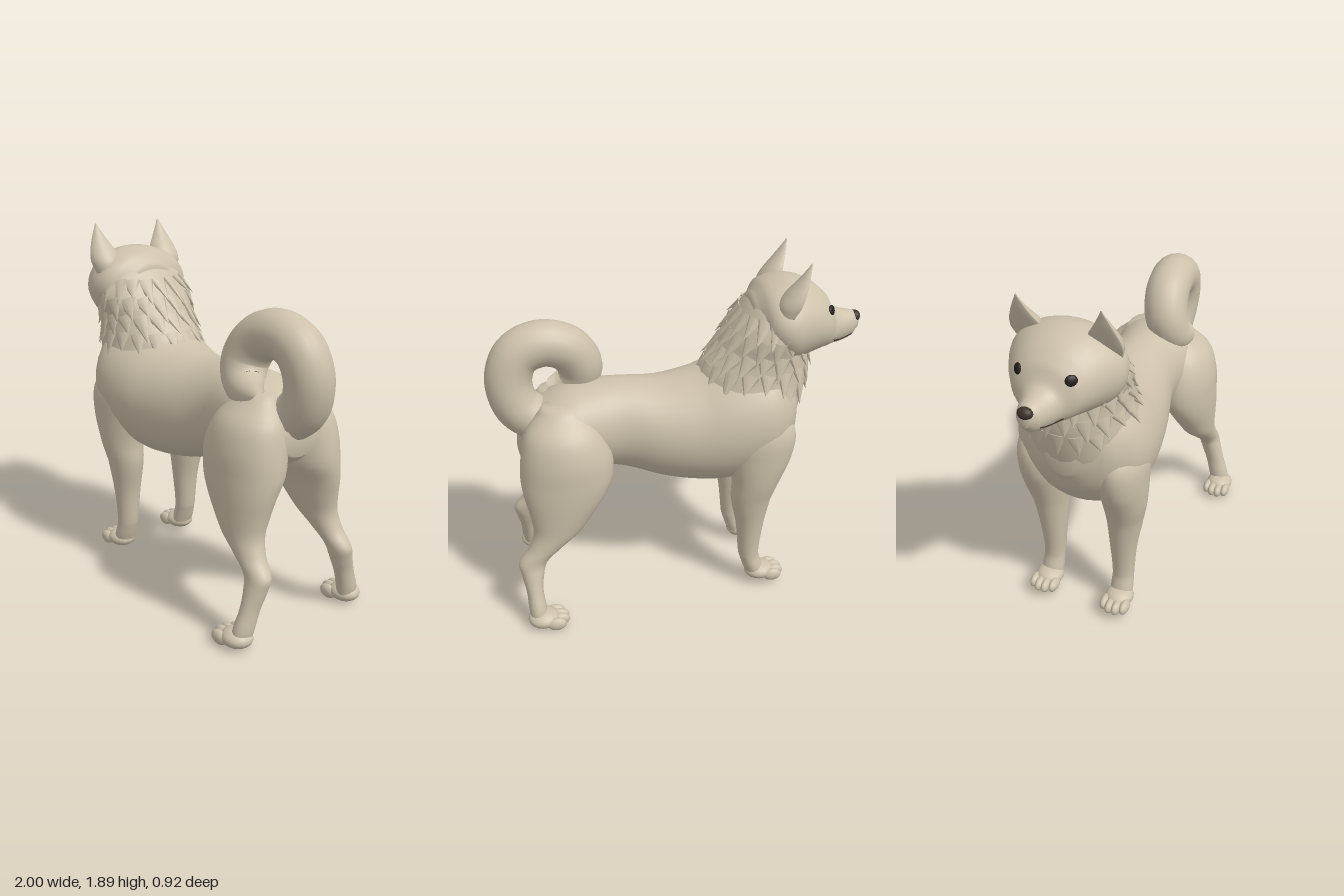
import * as THREE from 'three';
import { mergeGeometries } from 'three/addons/utils/BufferGeometryUtils.js';

const material = (name, color) => new THREE.MeshStandardMaterial({ name, color });

// Section rows are [position, aMin, aMax, zMin, zMax]; a is y along axis x, and x along axis y.
function sample(rows, pos) {
  let i = 0;
  while (i < rows.length - 2 && pos > rows[i + 1][0]) i++;
  const t = THREE.MathUtils.clamp((pos - rows[i][0]) / (rows[i + 1][0] - rows[i][0]), 0, 1);
  return rows[i].map((v, k) => v + (rows[i + 1][k] - v) * t);
}

function catmull(p0, p1, p2, p3, t) {
  const a = (p2 - p0) / 2, b = (p3 - p1) / 2;
  return (2 * (p1 - p2) + a + b) * t ** 3 + (3 * (p2 - p1) - 2 * a - b) * t * t + a * t + p1;
}

// Smooth skin over elliptical sections; dent < 1 folds the -a side inward
function loft(rows, axis, { sides = 28, steps = 4, dent = 1 } = {}) {
  const rings = [], last = rows.length - 1;
  for (let i = 0; i < last; i++) {
    for (let s = 0; s < steps; s++) {
      const r = [rows[Math.max(i - 1, 0)], rows[i], rows[i + 1], rows[Math.min(i + 2, last)]];
      rings.push(r[1].map((_, k) => k === 0
        ? r[1][0] + (r[2][0] - r[1][0]) * s / steps
        : catmull(r[0][k], r[1][k], r[2][k], r[3][k], s / steps)));
    }
  }
  rings.push(rows[last]);
  const pos = [], idx = [];
  const put = (p, a, z) => (axis === 'x' ? pos.push(p, a, z) : pos.push(a, p, z));
  const tri = (a, b, c) => (axis === 'x' ? idx.push(a, b, c) : idx.push(a, c, b));
  for (const [p, a0, a1, z0, z1] of rings) {
    for (let j = 0; j < sides; j++) {
      const u = j / sides * Math.PI * 2, c = Math.cos(u);
      put(p, (a0 + a1) / 2 + (a1 - a0) / 2 * (c < 0 ? c * dent : c), (z0 + z1) / 2 + (z1 - z0) / 2 * Math.sin(u));
    }
  }
  for (let i = 0; i < rings.length - 1; i++) {
    for (let j = 0; j < sides; j++) {
      const a = i * sides + j, b = i * sides + (j + 1) % sides;
      tri(a, b, a + sides);
      tri(b, b + sides, a + sides);
    }
  }
  // End caps
  const end = (rings.length - 1) * sides, cap = rings.length * sides;
  for (const r of [rings[0], rings[rings.length - 1]]) put(r[0], (r[1] + r[2]) / 2, (r[3] + r[4]) / 2);
  for (let j = 0; j < sides; j++) {
    const k = (j + 1) % sides;
    tri(cap, k, j);
    tri(cap + 1, end + j, end + k);
  }
  const g = new THREE.BufferGeometry();
  g.setAttribute('position', new THREE.Float32BufferAttribute(pos, 3));
  g.setIndex(idx);
  g.computeVertexNormals();
  return g;
}

const symmetric = rows => rows.map(([p, a, b, w]) => [p, a, b, -w, w]);
const sided = (rows, s) => (s > 0 ? rows : rows.map(([p, a, b, z0, z1]) => [p, a, b, -z1, -z0]));

const BODY = symmetric([
  [-0.66, 0.98, 1.18, 0.08], [-0.6, 0.85, 1.3, 0.23], [-0.5, 0.72, 1.38, 0.325], [-0.4, 0.67, 1.38, 0.352],
  [-0.25, 0.645, 1.34, 0.345], [-0.1, 0.65, 1.28, 0.315], [0.1, 0.69, 1.25, 0.268], [0.3, 0.76, 1.265, 0.215],
  [0.45, 0.79, 1.265, 0.225], [0.6, 0.81, 1.245, 0.25], [0.75, 0.84, 1.17, 0.23], [0.83, 0.9, 1.07, 0.12]]);
const NECK = symmetric([
  [0.76, -0.52, -0.3, 0.18], [0.88, -0.59, -0.2, 0.28], [1.0, -0.645, -0.12, 0.315], [1.2, -0.695, -0.1, 0.285],
  [1.3, -0.71, -0.13, 0.265], [1.4, -0.7, -0.21, 0.26], [1.5, -0.68, -0.27, 0.28],
  [1.63, -0.67, -0.36, 0.23], [1.72, -0.6, -0.43, 0.12]]);
const HEAD = symmetric([
  [-0.985, 1.45, 1.53, 0.025], [-0.95, 1.41, 1.55, 0.058], [-0.88, 1.385, 1.565, 0.085], [-0.83, 1.38, 1.59, 0.115],
  [-0.79, 1.375, 1.66, 0.17], [-0.73, 1.365, 1.715, 0.215], [-0.65, 1.345, 1.757, 0.26],
  [-0.55, 1.33, 1.77, 0.295], [-0.45, 1.4, 1.74, 0.26], [-0.38, 1.47, 1.67, 0.13]]);
const FORELEG = [
  [0.05, -0.47, -0.37, 0.15, 0.27], [0.12, -0.455, -0.345, 0.15, 0.275], [0.2, -0.435, -0.32, 0.15, 0.27],
  [0.4, -0.455, -0.3, 0.135, 0.285], [0.58, -0.487, -0.265, 0.12, 0.315], [0.7, -0.53, -0.265, 0.11, 0.34],
  [0.85, -0.59, -0.24, 0.1, 0.35], [1.0, -0.6, -0.22, 0.1, 0.345], [1.14, -0.52, -0.3, 0.12, 0.28]];
const HINDLEG = [
  [0.03, 0.79, 0.87, 0.31, 0.42], [0.1, 0.785, 0.88, 0.295, 0.415], [0.2, 0.795, 0.885, 0.265, 0.38],
  [0.3, 0.78, 0.904, 0.23, 0.35], [0.36, 0.755, 0.91, 0.215, 0.335], [0.43, 0.68, 0.855, 0.195, 0.335],
  [0.52, 0.57, 0.82, 0.16, 0.34], [0.62, 0.49, 0.83, 0.12, 0.347], [0.72, 0.42, 0.85, 0.08, 0.352],
  [0.82, 0.375, 0.862, 0.02, 0.352], [0.95, 0.38, 0.85, 0, 0.345], [1.08, 0.43, 0.815, 0, 0.3],
  [1.2, 0.52, 0.72, 0.04, 0.18]];
const EAR = [
  [1.63, -0.6, -0.48, 0.17, 0.27], [1.69, -0.655, -0.48, 0.13, 0.285], [1.74, -0.665, -0.51, 0.12, 0.28],
  [1.8, -0.66, -0.56, 0.155, 0.258], [1.85, -0.65, -0.6, 0.184, 0.235], [1.895, -0.642, -0.63, 0.206, 0.214]];

// Head surface point at x, y on side s
function onHead(x, y, s) {
  const [, y0, y1, , w] = sample(HEAD, x);
  const k = (y - (y0 + y1) / 2) / ((y1 - y0) / 2);
  return new THREE.Vector3(x, y, s * w * Math.sqrt(Math.max(0, 1 - k * k)));
}

// Flat pointed locks lying along the neck in staggered rings
function ruffGeometry() {
  const onNeck = (y, u) => {
    const [, x0, x1, , w] = sample(NECK, y);
    return new THREE.Vector3((x0 + x1) / 2 + (x1 - x0) / 2 * Math.cos(u), y, w * Math.sin(u));
  };
  const locks = [];
  [1.6, 1.51, 1.42, 1.33, 1.24].forEach((y, row) => {
    const count = 18;
    for (let i = 0; i < count; i++) {
      const u = (i + row % 2 / 2) / count * Math.PI * 2;
      if (row === 4 && Math.cos(u) > -0.5) continue;
      const length = 0.11 + 0.025 * Math.sin(i * 2.3 + row * 1.7);
      const n = new THREE.Vector3(Math.cos(u), 0.25, Math.sin(u)).normalize();
      const a = onNeck(y, u).addScaledVector(n, -0.01);
      const b = onNeck(y - length, u).addScaledVector(n, 0.022);
      const dir = b.clone().sub(a), len = dir.length();
      dir.normalize();
      const t = new THREE.Vector3().crossVectors(dir, n).normalize();
      const flat = new THREE.Vector3().crossVectors(t, dir);
      const g = new THREE.ConeGeometry(0.05, len, 8).scale(1, 1, 0.35);
      g.applyMatrix4(new THREE.Matrix4().makeBasis(t, dir, flat).setPosition(a.add(b).multiplyScalar(0.5)));
      locks.push(g);
    }
  });
  return mergeGeometries(locks);
}

// Curled tail: a tube whose rings are scaled to a tapering radius
function tailGeometry() {
  const path = new THREE.CatmullRomCurve3([
    [0.73, 1.06, 0], [0.84, 1.155, 0.005], [0.875, 1.3, 0.02], [0.82, 1.43, 0.035], [0.69, 1.478, 0.045],
    [0.56, 1.43, 0.06], [0.5, 1.32, 0.085], [0.53, 1.225, 0.115], [0.6, 1.185, 0.14], [0.69, 1.175, 0.155],
  ].map(p => new THREE.Vector3(...p)));
  const seg = 60, sides = 20, g = new THREE.TubeGeometry(path, seg, 1, sides), p = g.attributes.position;
  const v = new THREE.Vector3();
  for (let i = 0; i <= seg; i++) {
    const t = i / seg, c = path.getPointAt(t);
    const r = 0.122 * (t > 0.7 ? Math.sqrt(Math.max(0, 1 - ((t - 0.7) / 0.3) ** 2)) : 1);
    for (let j = 0; j <= sides; j++) {
      const k = i * (sides + 1) + j;
      v.fromBufferAttribute(p, k).sub(c).multiplyScalar(r).add(c);
      p.setXYZ(k, v.x, v.y, v.z);
    }
  }
  return g;
}

export function createModel() {
  const root = new THREE.Group();
  root.name = 'dog';
  const fur = material('fur', 0xcdc1ab), noseDark = material('noseDark', 0x3d352d), eyeDark = material('eyeDark', 0x241e1a);
  const add = (name, geometry, mat = fur, parent = root) => {
    const m = new THREE.Mesh(geometry, mat);
    m.name = name;
    parent.add(m);
    return m;
  };
  const blob = (name, mat, [x, y, z], [rx, ry, rz], parent) => {
    const m = add(name, new THREE.SphereGeometry(1, 18, 12), mat, parent);
    m.position.set(x, y, z);
    m.scale.set(rx, ry, rz);
    return m;
  };

  add('body', loft(BODY, 'x', { sides: 36 }));
  add('neck', loft(NECK, 'y', { sides: 36 }));
  add('neckRuff', ruffGeometry());
  add('head', loft(HEAD, 'x', { sides: 36 }));
  add('tail', tailGeometry());
  blob('nose', noseDark, [-0.968, 1.517, 0], [0.03, 0.03, 0.038]);

  // Paw with four toes pointing forward
  const paw = (name, x, y, z, s) => {
    const g = new THREE.Group();
    g.name = name;
    root.add(g);
    blob('pad', fur, [x + 0.025, y + 0.048, s * z], [0.085, 0.048, 0.078], g);
    for (let i = 0; i < 4; i++) {
      const off = i - 1.5, outer = Math.abs(off) > 1;
      blob('toe', fur, [x - (outer ? 0.04 : 0.06), y + 0.037, s * z + off * 0.038], [0.052, 0.037, 0.026], g);
    }
  };

  for (const s of [1, -1]) {
    const side = s > 0 ? 'Far' : 'Near';
    add('foreleg' + side, loft(sided(FORELEG, s), 'y'));
    add('hindleg' + side, loft(sided(HINDLEG, s), 'y'));
    paw('forepaw' + side, -0.468, 0.025, 0.215, s);
    paw('hindpaw' + side, 0.78, 0, 0.375, s);
    add('ear' + side, loft(sided(EAR, s), 'y', { dent: 0.15 }));

    // Eye, a thin disc set on the face
    const eye = blob('eye' + side, eyeDark, onHead(-0.785, 1.612, s).toArray(), [0.03, 0.027, 0.012]);
    eye.lookAt(eye.position.clone().add(new THREE.Vector3(-0.75, 0.3, s * 0.65)));

    // Mouth line
    const lip = [-0.94, -0.9, -0.86, -0.82].map((x, i) => onHead(x, [1.44, 1.425, 1.42, 1.43][i], s));
    add('mouth' + side, new THREE.TubeGeometry(new THREE.CatmullRomCurve3(lip), 12, 0.004, 6), noseDark);
  }
  return root;
}
